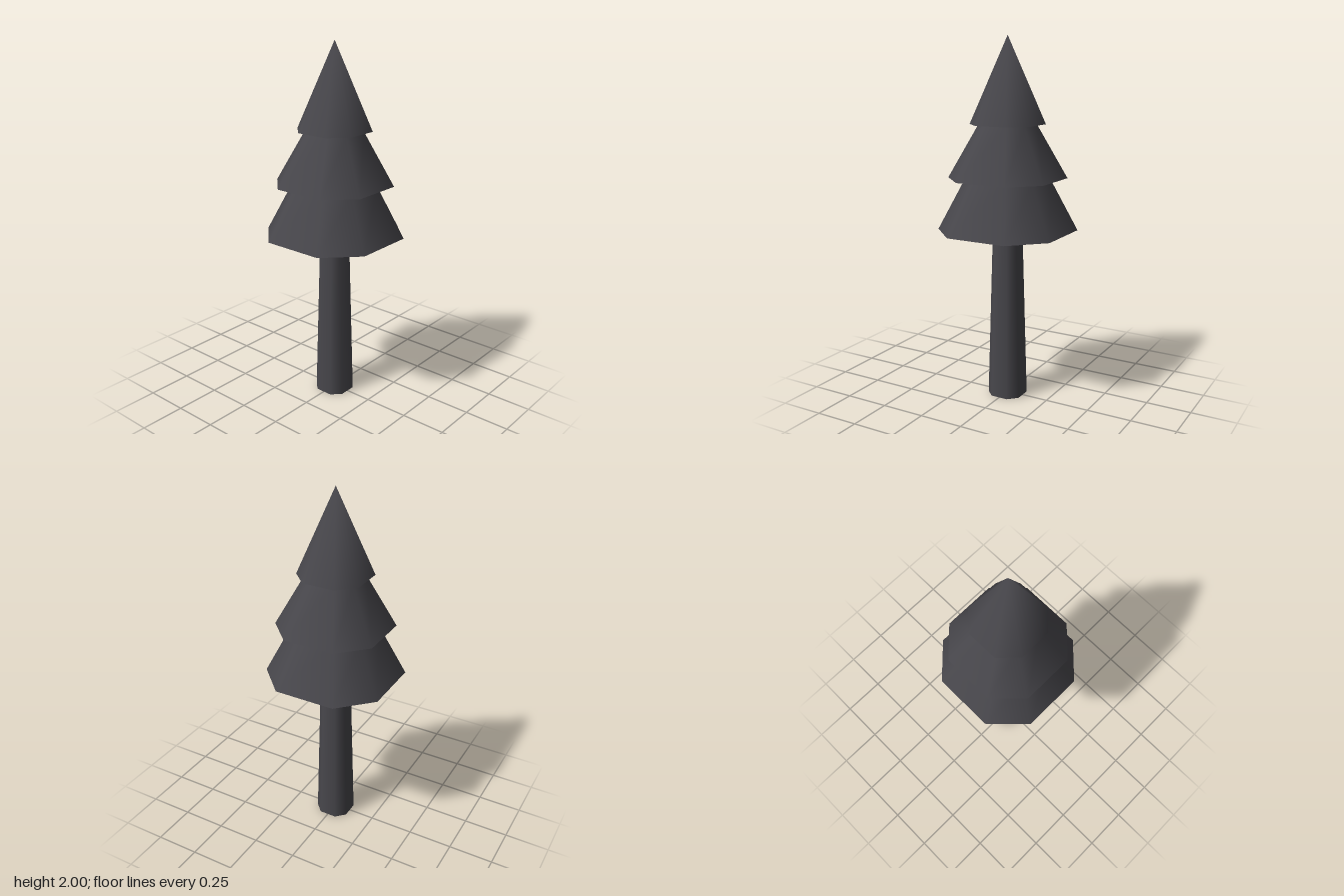
import * as THREE from 'three';

// Tapered eight-sided section: a square with its corners cut at the half points
function section(bottomR, topR, y0, y1) {
  const geo = new THREE.CylinderGeometry(topR, bottomR, y1 - y0, 8, 1, false, Math.PI / 8);
  geo.translate(0, (y0 + y1) / 2, 0);
  const pos = geo.attributes.position;
  const normal = geo.attributes.normal;
  const mid = (y0 + y1) / 2;
  for (let i = 0; i < pos.count; i++) {
    const x = pos.getX(i), z = pos.getZ(i);
    const top = pos.getY(i) > mid;
    if (Math.hypot(x, z) > 1e-5) {
      const r = top ? topR : bottomR;
      const wide = Math.abs(x) > Math.abs(z);
      pos.setX(i, Math.sign(x) * r * (wide ? 1 : 0.5));
      pos.setZ(i, Math.sign(z) * r * (wide ? 0.5 : 1));
    } else if (top) {
      normal.setXYZ(i, 0, 1, 0); // smooth tip
    }
  }
  return geo;
}

export function createModel() {
  const model = new THREE.Group();
  model.name = 'pineTree';
  const charcoal = new THREE.MeshStandardMaterial({ color: 0x48474c });
  charcoal.name = 'charcoal';

  // name, bottom radius, top radius, bottom y, top y
  const parts = [
    ['trunk', 0.098, 0.073, 0, 0.957],
    ['lowerBranches', 0.343, 0.205, 0.957, 1.245],
    ['middleBranches', 0.29, 0.14, 1.245, 1.535],
    ['treeTop', 0.183, 0, 1.535, 2],
  ];
  for (const [name, ...dims] of parts) {
    const mesh = new THREE.Mesh(section(...dims), charcoal);
    mesh.name = name;
    model.add(mesh);
  }
  return model;
}
